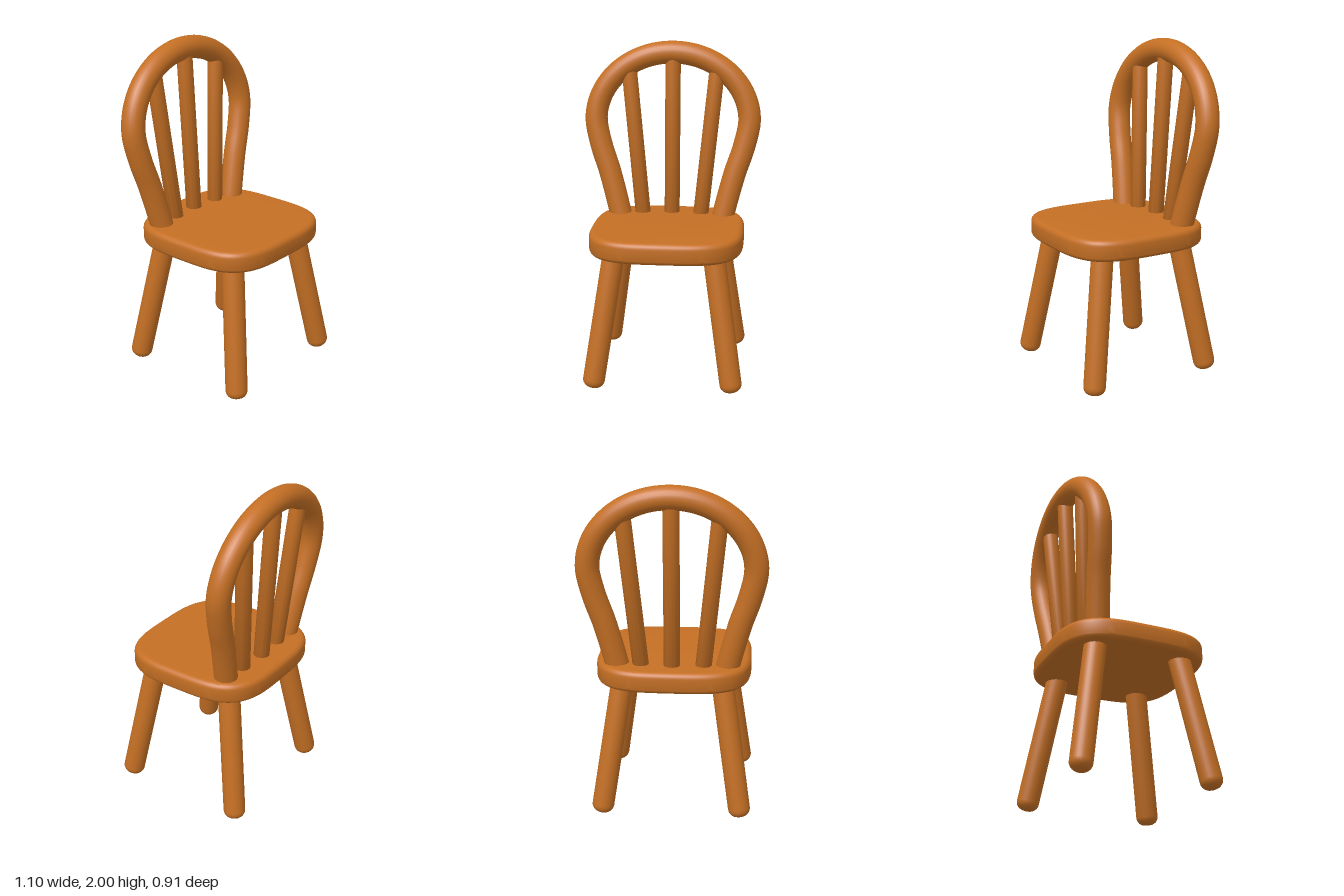
import * as THREE from 'three';
import { toCreasedNormals } from 'three/addons/utils/BufferGeometryUtils.js';

const wood = new THREE.MeshStandardMaterial({ color: 0xc46f24 });
wood.name = 'warm wood';

function add(group, name, geometry) {
  const mesh = new THREE.Mesh(geometry, wood);
  mesh.name = name;
  group.add(mesh);
  return mesh;
}

// Round rod between two points, with softened ends
function addRod(group, name, from, to, radius, soft) {
  const a = new THREE.Vector3(...from);
  const dir = new THREE.Vector3(...to).sub(a);
  const length = dir.length();
  const profile = [new THREE.Vector2(0, 0)];
  for (let i = 0; i <= 6; i++) {
    const t = (i / 6) * Math.PI / 2;
    profile.push(new THREE.Vector2(radius - soft + soft * Math.sin(t), soft - soft * Math.cos(t)));
  }
  profile.push(new THREE.Vector2(radius, length), new THREE.Vector2(0, length));
  const rod = add(group, name, toCreasedNormals(new THREE.LatheGeometry(profile, 28), 0.7));
  rod.position.copy(a);
  rod.quaternion.setFromUnitVectors(new THREE.Vector3(0, 1, 0), dir.normalize());
}

// Softly squared slab with rounded rims
function seatGeometry() {
  const outline = [];
  const power = 2 / 3.4;
  for (let i = 0; i < 96; i++) {
    const a = (i / 96) * Math.PI * 2;
    const c = Math.cos(a), s = Math.sin(a);
    outline.push(new THREE.Vector2(
      0.465 * Math.sign(c) * Math.abs(c) ** power,
      0.455 * Math.sign(s) * Math.abs(s) ** power));
  }
  const bevel = 0.035;
  const geometry = new THREE.ExtrudeGeometry(new THREE.Shape(outline), {
    depth: 0.13 - 2 * bevel, bevelEnabled: true, bevelThickness: bevel,
    bevelSize: bevel, bevelOffset: -bevel, bevelSegments: 6,
  });
  geometry.rotateX(-Math.PI / 2);
  geometry.translate(0, 0.795 + bevel, 0);
  return toCreasedNormals(geometry, 0.7);
}

// Balloon-shaped bow lying in a plane that leans backwards
function hoopGeometry() {
  const lean = (y) => -0.268 - (y - 0.925) * 0.097;
  const side = [[0.315, 0.86], [0.335, 0.95], [0.395, 1.18], [0.45, 1.35]];
  const half = side.map(([x, y]) => [x, y]);
  for (let i = 0; i < 6; i++) {
    const a = (i / 6) * Math.PI / 2;
    half.push([0.481 * Math.cos(a), 1.51 + 0.418 * Math.sin(a)]);
  }
  const path = [...half, [0, 1.928], ...half.slice().reverse().map(([x, y]) => [-x, y])];
  const curve = new THREE.CatmullRomCurve3(path.map(([x, y]) => new THREE.Vector3(x, y, lean(y))));
  return new THREE.TubeGeometry(curve, 120, 0.07, 24, false);
}

export function createModel() {
  const chair = new THREE.Group();
  chair.name = 'chair';

  add(chair, 'seat', seatGeometry());
  add(chair, 'backHoop', hoopGeometry());

  // Splayed legs
  for (const z of [1, -1]) {
    for (const x of [1, -1]) {
      const name = (z > 0 ? 'front' : 'back') + (x > 0 ? 'Left' : 'Right') + 'Leg';
      addRod(chair, name, [0.417 * x, 0.006, 0.398 * z], [0.29 * x, 0.86, 0.26 * z], 0.066, 0.05);
    }
  }

  // Fanned back spindles
  addRod(chair, 'centreSpindle', [0, 0.86, -0.295], [0, 1.92, -0.36], 0.048, 0.01);
  for (const x of [1, -1]) {
    addRod(chair, x > 0 ? 'leftSpindle' : 'rightSpindle',
      [0.179 * x, 0.86, -0.28], [0.277 * x, 1.85, -0.353], 0.048, 0.01);
  }
  return chair;
}
